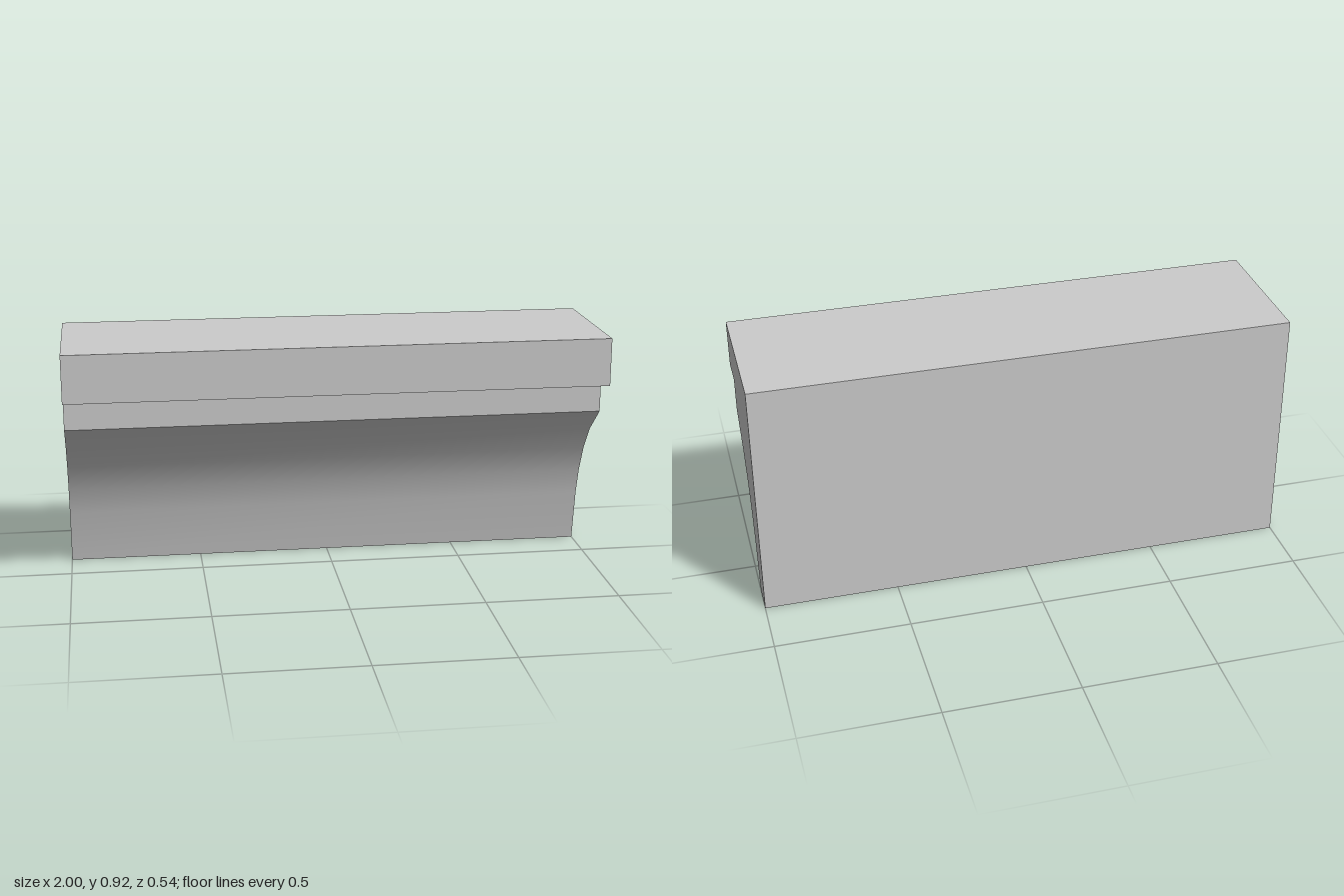
import * as THREE from 'three';
import { toCreasedNormals } from 'three/addons/utils/BufferGeometryUtils.js';

export function createModel() {
  const group = new THREE.Group();
  group.name = 'corniceMoulding';

  // Side profile as [z, y]: flat back, top fascia, stepped fillet, concave cove
  const profile = [
    [-0.27, 0], [-0.153, 0],
    [-0.118, 0.204], [-0.087, 0.307], [-0.037, 0.41], [0.037, 0.51], [0.154, 0.611],
    [0.154, 0.739], [0.27, 0.739], [0.27, 0.918], [-0.27, 0.918],
  ];
  const shape = new THREE.Shape(profile.map(([z, y]) => new THREE.Vector2(z, y)));

  // Run the profile along x, keeping the cove smooth and the other edges sharp
  const run = new THREE.ExtrudeGeometry(shape, { depth: 2, bevelEnabled: false });
  run.translate(0, 0, -1);
  run.rotateY(-Math.PI / 2);

  const moulding = new THREE.Mesh(
    toCreasedNormals(run, 0.6),
    new THREE.MeshStandardMaterial({ color: 0xcccccc }),
  );
  moulding.name = 'moulding';
  group.add(moulding);
  return group;
}
